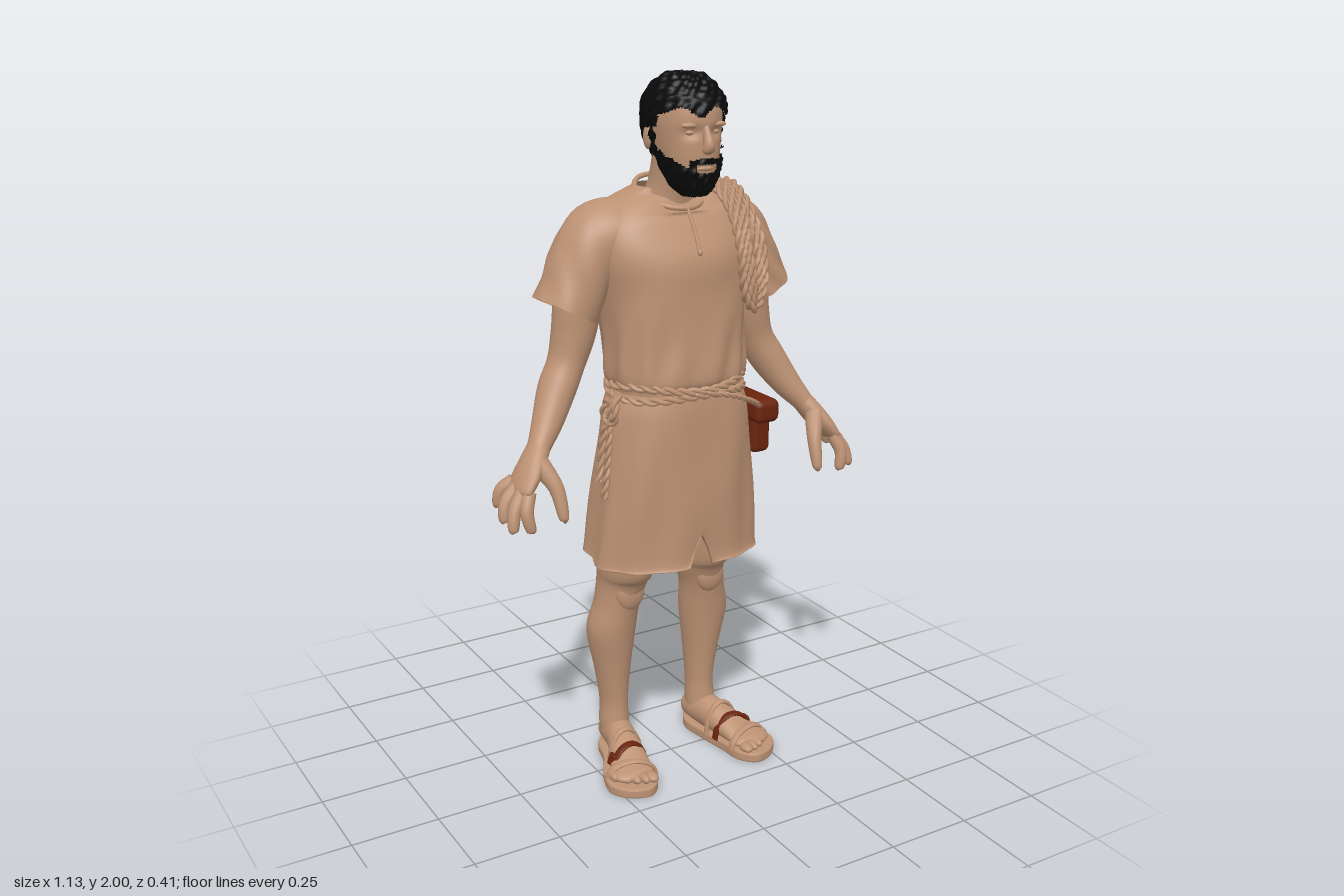
import * as THREE from 'three';
import { mergeGeometries } from 'three/addons/utils/BufferGeometryUtils.js';
import { RoundedBoxGeometry } from 'three/addons/geometries/RoundedBoxGeometry.js';

const V = (x, y, z) => new THREE.Vector3(x, y, z);
const mat = (name, color) => {
  const m = new THREE.MeshStandardMaterial({ color, side: THREE.DoubleSide });
  m.name = name;
  return m;
};

// Smooth skin through rings [x, y, z, radiusA, radiusB]; level keeps the rings horizontal
function loft(rows, { seg = 32, level = false, power = 2, ref = V(0, 0, 1), bend = null, steps = 6 } = {}) {
  const path = new THREE.CatmullRomCurve3(rows.map(r => V(r[0], r[1], r[2])), false, 'catmullrom', 0.5);
  const size = new THREE.CatmullRomCurve3(rows.map(r => V(r[3], r[4] ?? r[3], 0)), false, 'catmullrom', 0.5);
  const n = (rows.length - 1) * steps, pos = [], idx = [];
  const shape = v => Math.sign(v) * Math.abs(v) ** (2 / power);
  for (let i = 0; i <= n; i++) {
    const c = path.getPoint(i / n), r = size.getPoint(i / n);
    const t = level ? V(0, 1, 0) : path.getTangent(i / n);
    const u = t.clone().cross(ref).normalize(), v = u.clone().cross(t).normalize();
    for (let j = 0; j < seg; j++) {
      const a = j / seg * Math.PI * 2;
      const p = c.clone().addScaledVector(u, shape(Math.cos(a)) * Math.max(r.x, 0.0005))
        .addScaledVector(v, shape(Math.sin(a)) * Math.max(r.y, 0.0005));
      if (bend) bend(p, a, c);
      pos.push(p.x, p.y, p.z);
      if (i < n) {
        const b = i * seg, k = (j + 1) % seg;
        idx.push(b + j, b + seg + j, b + k, b + k, b + seg + j, b + seg + k);
      }
    }
  }
  const g = new THREE.BufferGeometry();
  g.setAttribute('position', new THREE.Float32BufferAttribute(pos, 3));
  g.setIndex(idx);
  g.computeVertexNormals();
  return g;
}

// Two strands twisted around a path
function rope(points, r, closed = false) {
  const curve = new THREE.CatmullRomCurve3(points, closed);
  const len = curve.getLength(), n = Math.ceil(len / (r * 0.7));
  const turns = Math.max(1, Math.round(len / (r * 6)));
  const f = curve.computeFrenetFrames(n, closed);
  return mergeGeometries([0, Math.PI].map(start => {
    const pts = [];
    for (let i = 0; i < (closed ? n : n + 1); i++) {
      const a = start + i / n * turns * Math.PI * 2;
      pts.push(curve.getPointAt(i / n).addScaledVector(f.normals[i], Math.cos(a) * r * 0.5)
        .addScaledVector(f.binormals[i], Math.sin(a) * r * 0.5));
    }
    return new THREE.TubeGeometry(new THREE.CatmullRomCurve3(pts, closed), n, r * 0.58, 6, closed);
  }));
}

const tube = (pts, r, closed = false) =>
  new THREE.TubeGeometry(new THREE.CatmullRomCurve3(pts, closed), pts.length * 6, r, 8, closed);
const ball = (x, y, z, a, b, c) => new THREE.SphereGeometry(1, 16, 12).scale(a, b, c).translate(x, y, z);

export function createModel() {
  const model = new THREE.Group();
  const tan = mat('tan skin and cloth', 0xbd9274);
  const leather = mat('brown leather', 0x6a240e);
  const black = mat('black hair', 0x0a0a0a);
  const add = (name, geo, m = tan) => {
    const mesh = new THREE.Mesh(geo, m);
    mesh.name = name;
    model.add(mesh);
  };

  // Head and neck
  const headRows = [[0, 1.69, 0.115, 0.012, 0.015], [0, 1.705, 0.112, 0.04, 0.045], [0, 1.735, 0.105, 0.06, 0.065],
    [0, 1.78, 0.085, 0.076, 0.092], [0, 1.83, 0.07, 0.086, 0.108], [0, 1.88, 0.063, 0.092, 0.118],
    [0, 1.925, 0.06, 0.088, 0.113], [0, 1.958, 0.062, 0.068, 0.088], [0, 1.979, 0.066, 0.04, 0.053], [0, 1.986, 0.068, 0.001, 0.001]];
  add('head', loft(headRows, { level: true, seg: 48, power: 2.1, bend: p => { // eye sockets
    for (const s of [-1, 1]) {
      const d = ((p.x - s * 0.036) / 0.022) ** 2 + ((p.y - 1.853) / 0.014) ** 2;
      if (p.z > 0.1) p.z -= 0.013 * Math.exp(-d);
    }
  } }));
  add('neck', loft([[0, 1.58, -0.03, 0.11, 0.085], [0, 1.65, -0.02, 0.085, 0.078], [0, 1.71, 0.005, 0.066, 0.066],
    [0, 1.8, 0.03, 0.062, 0.066]], { level: true }));
  add('nose', loft([[0, 1.875, 0.172, 0.007, 0.006], [0, 1.85, 0.18, 0.01, 0.012], [0, 1.822, 0.189, 0.015, 0.017],
    [0, 1.807, 0.184, 0.016, 0.012], [0, 1.802, 0.178, 0.001]], { seg: 16 }));
  add('lips', ball(0, 1.762, 0.171, 0.024, 0.007, 0.009));
  for (const s of [-1, 1]) {
    add('eye', ball(s * 0.036, 1.853, 0.156, 0.014, 0.007, 0.009));
    add('brow', ball(s * 0.04, 1.872, 0.163, 0.027, 0.008, 0.013));
    add('ear', ball(s * 0.092, 1.835, 0.04, 0.012, 0.032, 0.02));
  }

  // Hair and beard: a rough shell over the head, kept only where hair grows
  const isHair = p => {
    const x = Math.abs(p.x), { y, z } = p;
    const scalp = z > 0.1 ? y > 1.905 + 0.012 * Math.sin(p.x * 70) : z > 0.06 ? y > 1.865 : z > 0.015 ? y > 1.86 : y > 1.765;
    const sideburn = z > 0.064 && z < 0.088 && y > 1.76 && x > 0.05;
    const beard = z > 0.055 && y < 1.75 + 0.035 * (x / 0.075) ** 2;
    const moustache = z > 0.12 && x < 0.046 && y < 1.79 - 0.1 * x && (y > 1.773 || x > 0.03);
    return scalp || sideburn || beard || moustache;
  };
  const hair = loft(headRows, { level: true, seg: 120, steps: 10, power: 2.1, bend: (p, a, c) => {
    const d = p.clone().sub(V(0, Math.min(1.86, Math.max(1.75, c.y)), 0.07)).normalize();
    const rough = Math.sin(p.x * 160 + p.y * 90) * Math.sin(p.z * 140 - p.y * 120) + 0.5 * Math.sin(a * 17 + p.y * 200);
    p.addScaledVector(d, (p.y > 1.8 ? 0.0145 : 0.009) + 0.0035 * rough);
    p.y = Math.min(p.y, 2);
  } });
  const hp = hair.attributes.position, src = hair.index.array, kept = [];
  for (let i = 0; i < src.length; i += 3) {
    const m = V(0, 0, 0);
    for (let k = 0; k < 3; k++) m.add(V(0, 0, 0).fromBufferAttribute(hp, src[i + k]));
    if (isHair(m.divideScalar(3))) kept.push(src[i], src[i + 1], src[i + 2]);
  }
  hair.setIndex(kept);
  add('hairAndBeard', hair, black);

  // Tunic top, gathered over the belt
  add('tunicTop', loft([[0, 1.14, 0.02, 0.183, 0.14], [0, 1.17, 0.02, 0.183, 0.142], [0, 1.2, 0.018, 0.197, 0.153],
    [0, 1.3, 0.01, 0.2, 0.153], [0, 1.42, -0.003, 0.212, 0.16], [0, 1.52, -0.012, 0.23, 0.163], [0, 1.6, -0.025, 0.23, 0.14],
    [0, 1.655, -0.03, 0.185, 0.11], [0, 1.685, -0.03, 0.12, 0.092], [0, 1.7, -0.025, 0.085, 0.08]],
  { level: true, seg: 96, power: 2.4, bend: (p, a) => {
    const low = Math.max(0, 1 - Math.abs(p.y - 1.23) / 0.16);
    const k = 1 + 0.025 * low * Math.sin(a * 13 + p.y * 12) + 0.009 * Math.sin(a * 5 + p.y * 25);
    p.x *= k; p.z *= k;
    if (p.z < -0.08) p.z += 0.014 * Math.exp(-((p.x / 0.02) ** 2)); // groove along the spine
    if (p.z > 0.02 && p.y > 1.64) p.y -= 0.035 * Math.exp(-((p.x / 0.08) ** 2));
  } }));
  add('collar', tube(Array.from({ length: 12 }, (_, i) => {
    const a = i * Math.PI / 6, f = Math.sin(a);
    return V(Math.cos(a) * 0.088, 1.682 - 0.034 * f, -0.02 + f * (f > 0 ? 0.105 : 0.09));
  }), 0.007, true));
  add('neckSlit', tube([V(0, 1.648, 0.086), V(0, 1.6, 0.119), V(0, 1.545, 0.147)], 0.005));
  add('neckBead', ball(0, 1.54, 0.15, 0.007, 0.009, 0.007));

  // Tunic skirt with a turned-in hem and a front notch
  add('skirt', loft([[0, 0.78, -0.005, 0.225, 0.15], [0, 0.675, -0.005, 0.243, 0.165], [0, 0.66, -0.005, 0.256, 0.176],
    [0, 0.69, -0.005, 0.252, 0.17], [0, 0.85, 0.01, 0.238, 0.16], [0, 1, 0.02, 0.222, 0.15], [0, 1.1, 0.02, 0.208, 0.148],
    [0, 1.16, 0.02, 0.186, 0.142]], { level: true, seg: 120, power: 2.4, bend: (p, a) => {
    const low = Math.min(1, Math.max(0, (1.15 - p.y) / 0.4));
    const k = 1 + 0.018 * low * Math.sin(a * 11 + 1) + 0.01 * Math.sin(a * 6 + p.y * 14);
    p.x *= k; p.z *= k;
    if (p.z < 0) p.y += 0.015 * low;
    if (p.z > 0.05) p.y = Math.max(p.y, 0.755 - 95 * p.x * p.x);
  } }));

  for (const s of [-1, 1]) {
    const mirror = rows => rows.map(([x, ...rest]) => [s * x, ...rest]);
    const limb = (name, rows, opt, m) => add(name, loft(mirror(rows), opt), m);

    // Sleeve and arm
    limb('sleeve', [[0.09, 1.595, -0.035, 0.07, 0.09], [0.14, 1.59, -0.038, 0.086, 0.105], [0.2, 1.566, -0.04, 0.098, 0.108],
      [0.25, 1.5, -0.038, 0.094, 0.1], [0.285, 1.43, -0.036, 0.088, 0.097], [0.308, 1.385, -0.035, 0.09, 0.097]],
    { seg: 40, bend: (p, a) => { p.z += 0.004 * Math.sin(a * 6 + p.y * 50); } });
    limb('arm', [[0.22, 1.55, -0.04, 0.07], [0.262, 1.42, -0.04, 0.066, 0.07], [0.28, 1.32, -0.042, 0.06, 0.064],
      [0.305, 1.24, -0.04, 0.051, 0.056], [0.34, 1.175, -0.028, 0.051, 0.056], [0.385, 1.1, 0.004, 0.042, 0.044],
      [0.425, 1.045, 0.032, 0.031, 0.035], [0.45, 1.01, 0.045, 0.028, 0.036]]);

    // Hand: palm, four fingers and thumb
    limb('palm', [[0.425, 1.045, 0.032, 0.03, 0.034], [0.455, 1.005, 0.048, 0.03, 0.05], [0.485, 0.965, 0.06, 0.026, 0.058],
      [0.505, 0.938, 0.064, 0.017, 0.052], [0.51, 0.931, 0.065, 0.001, 0.001]], { seg: 20 });
    const fingers = [[0.49, 0.945, 0.1, 0.507, 0.9, 0.12, 0.5, 0.852, 0.128], [0.5, 0.945, 0.08, 0.532, 0.9, 0.098, 0.542, 0.855, 0.11],
      [0.503, 0.95, 0.052, 0.54, 0.915, 0.06, 0.55, 0.872, 0.07], [0.497, 0.96, 0.022, 0.53, 0.935, 0.012, 0.54, 0.895, 0.008],
      [0.445, 1.01, 0.07, 0.417, 0.95, 0.112, 0.41, 0.875, 0.14]];
    fingers.forEach(([a, b, c, d, e, f, x, y, z], i) => limb(i < 4 ? 'finger' : 'thumb',
      [[a, b, c, i < 4 ? 0.019 : 0.029], [d, e, f, i < 4 ? 0.018 : 0.021], [x, y, z, 0.014], [x, y - 0.009, z + 0.002, 0.001]],
      { seg: 12 }));

    // Leg
    limb('leg', [[0.148, 0.06, -0.08, 0.042, 0.052], [0.15, 0.11, -0.082, 0.043, 0.05], [0.149, 0.18, -0.085, 0.041, 0.049],
      [0.153, 0.29, -0.085, 0.054, 0.06], [0.157, 0.41, -0.08, 0.072, 0.073], [0.144, 0.5, -0.067, 0.065, 0.075],
      [0.13, 0.57, -0.059, 0.07, 0.088], [0.128, 0.64, -0.038, 0.076, 0.106], [0.12, 0.95, -0.01, 0.085, 0.105]], { level: true });
    add('knee', ball(s * 0.135, 0.545, -0.002, 0.045, 0.055, 0.022));

    // Foot and toes
    limb('foot', [[0.143, 0.06, -0.14, 0.005, 0.005], [0.144, 0.06, -0.128, 0.033, 0.033], [0.147, 0.07, -0.09, 0.043, 0.045],
      [0.156, 0.072, -0.03, 0.044, 0.052], [0.177, 0.058, 0.05, 0.052, 0.038], [0.197, 0.045, 0.11, 0.06, 0.023],
      [0.203, 0.042, 0.145, 0.054, 0.016], [0.203, 0.04, 0.16, 0.01, 0.005]], { ref: V(0, 1, 0) });
    for (let i = 0; i < 5; i++)
      add('toe', ball(s * (0.162 + i * 0.023), 0.04, 0.165 - i * i * 0.0035, i ? 0.013 : 0.018, 0.013, 0.026));

    // Sandal sole and straps
    const outline = [[0.145, -0.15], [0.105, -0.1], [0.113, 0], [0.128, 0.09], [0.138, 0.16], [0.18, 0.202],
      [0.24, 0.185], [0.278, 0.13], [0.262, 0.06], [0.215, -0.03], [0.19, -0.11]];
    const loop = new THREE.CatmullRomCurve3(outline.map(([x, z]) => V(s * x, z, 0)), true).getPoints(60);
    loop.pop();
    add('sandalSole', new THREE.ExtrudeGeometry(new THREE.Shape(loop.map(p => new THREE.Vector2(p.x, p.y))),
      { depth: 0.018, bevelThickness: 0.006, bevelSize: 0.006, bevelOffset: -0.006, bevelSegments: 2 })
      .rotateX(Math.PI / 2).translate(0, 0.024, 0));
    const strap = (name, x, z, rx, h, w, tilt, m) => limb(name, Array.from({ length: 7 }, (_, i) => {
      const a = Math.PI * i / 6;
      return [x - Math.cos(a) * rx, 0.025 + Math.sin(a) * h, z - Math.cos(a) * tilt, 0.006, w];
    }), { seg: 10 }, m);
    strap('instepStrap', 0.18, 0.062, 0.058, 0.074, 0.013, 0.008, leather);
    strap('toeStrap', 0.198, 0.112, 0.068, 0.048, 0.013, -0.02);
    strap('ankleStrap', 0.167, 0.015, 0.052, 0.097, 0.01, 0);
    add('strapBuckle', new RoundedBoxGeometry(0.014, 0.035, 0.03, 2, 0.004).rotateZ(s * 0.35).translate(s * 0.232, 0.062, 0.058), leather);
  }

  // Rope belt, knot and hanging ends
  const around = (y, wave) => Array.from({ length: 24 }, (_, i) => {
    const a = i / 24 * Math.PI * 2;
    return V(Math.cos(a) * 0.195, y + wave * Math.sin(a * 3), 0.02 + Math.sin(a) * (a < Math.PI ? 0.16 : 0.148));
  });
  add('beltUpper', rope(around(1.178, 0.007), 0.012, true));
  add('beltLower', rope(around(1.153, -0.007), 0.012, true));
  add('beltKnot', rope([V(-0.2, 1.16, 0.06), V(-0.225, 1.13, 0.085), V(-0.222, 1.09, 0.07), V(-0.225, 1.09, 0.03),
    V(-0.225, 1.13, 0.03), V(-0.222, 1.145, 0.06), V(-0.228, 1.11, 0.06)], 0.012));
  for (const k of [0, 1])
    add('beltEnd', rope([V(-0.215, 1.13, 0.05), V(-0.228, 1.04, 0.055 - k * 0.03), V(-0.236, 0.95, 0.055 - k * 0.035),
      V(-0.245, 0.87 + k * 0.04, 0.055 - k * 0.03)], 0.011));

  // Rope coil slung over the left shoulder, its loops open at chest and back
  for (let i = 0; i < 4; i++) {
    const a = 0.11 + i * 0.008, b = 0.215 - i * 0.008, d = i * 0.018, k = i * 0.012;
    add('ropeCoil', rope([V(0.168, 1.372 + d, 0.16), V(a + 0.012, 1.42 + d, 0.182), V(a, 1.53, 0.18), V(0.112 + k, 1.64, 0.12),
      V(0.112 + k, 1.698, 0.02), V(0.112 + k, 1.69, -0.08), V(0.12 + k, 1.62, -0.16), V(a + 0.03, 1.48, -0.19),
      V(0.185, 1.375 + d, -0.18), V(b, 1.46 + d, -0.16), V(b - 0.01, 1.6, -0.145), V(0.195 - k, 1.68, -0.08),
      V(0.195 - k, 1.69, 0), V(0.195 - k, 1.645, 0.075), V(b, 1.55, 0.115), V(b, 1.43 + d, 0.135)], 0.0125, true));
  }

  // Belt pouch with a flap, fasteners and cord
  const box = (name, w, h, d, x, y, z) => add(name, new RoundedBoxGeometry(w, h, d, 3, Math.min(w, h, d) * 0.3).translate(x, y, z), leather);
  box('pouchBody', 0.062, 0.145, 0.215, 0.235, 1.008, 0.003);
  box('pouchFlap', 0.08, 0.068, 0.275, 0.236, 1.064, 0.005);
  for (const z of [-0.06, 0.07]) box('pouchFastener', 0.014, 0.06, 0.022, 0.27, 1.025, z);
  add('pouchCord', rope([V(0.01, 1.165, 0.185), V(0.09, 1.145, 0.185), V(0.16, 1.115, 0.16), V(0.215, 1.085, 0.12)], 0.008));

  return model;
}
